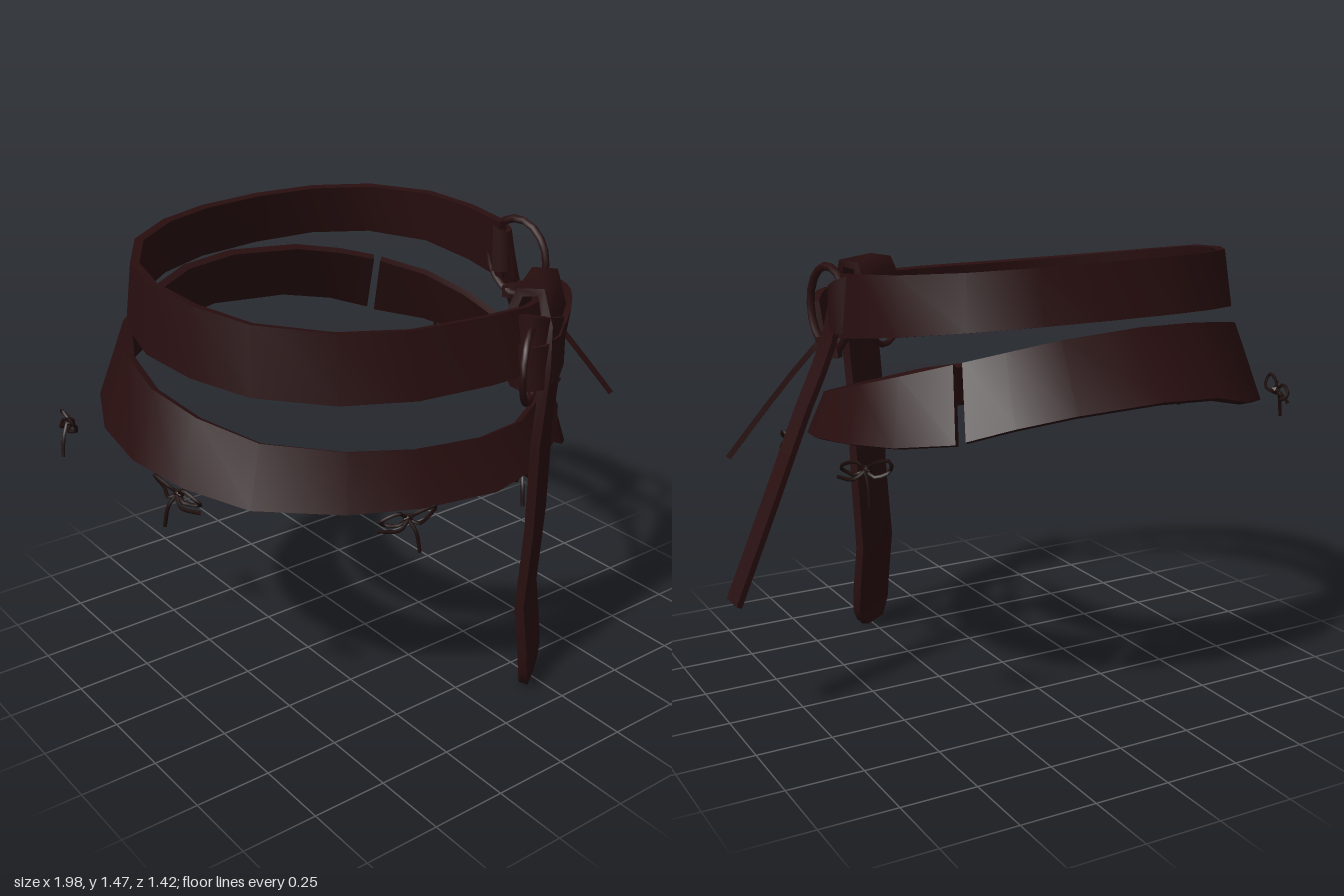
import * as THREE from 'three';

const leather = new THREE.MeshStandardMaterial({ color: 0x280e0f });
leather.name = 'dark leather';
const cordMat = new THREE.MeshStandardMaterial({ color: 0x1c0c0a });
cordMat.name = 'cord';

const V = (x, y, z) => new THREE.Vector3(x, y, z);

// Flat strap swept between two edge lines, with real thickness and capped ends
function strap(name, edgeA, edgeB, thick, perSpan = 1, closed = false) {
  const ca = new THREE.CatmullRomCurve3(edgeA, closed);
  const cb = new THREE.CatmullRomCurve3(edgeB, closed);
  const steps = (closed ? edgeA.length : edgeA.length - 1) * perSpan;
  const rings = [];
  for (let i = 0; i <= steps; i++) {
    const t = i / steps;
    const a = ca.getPoint(t), b = cb.getPoint(t);
    const tan = ca.getTangent(t).add(cb.getTangent(t));
    const n = tan.cross(b.clone().sub(a)).normalize().multiplyScalar(thick / 2);
    rings.push([a.clone().add(n), b.clone().add(n), b.clone().sub(n), a.clone().sub(n)]);
  }
  const pos = [], idx = [];
  for (let s = 0; s < 4; s++) {
    const base = pos.length / 3;
    for (const r of rings) pos.push(...r[s].toArray(), ...r[(s + 1) % 4].toArray());
    for (let i = 0; i < steps; i++) {
      const k = base + i * 2;
      idx.push(k, k + 2, k + 1, k + 1, k + 2, k + 3);
    }
  }
  if (!closed) {
    for (const [r, flip] of [[rings[0], false], [rings[steps], true]]) {
      const k = pos.length / 3;
      for (const p of r) pos.push(...p.toArray());
      if (flip) idx.push(k, k + 2, k + 1, k, k + 3, k + 2);
      else idx.push(k, k + 1, k + 2, k, k + 2, k + 3);
    }
  }
  const g = new THREE.BufferGeometry();
  g.setAttribute('position', new THREE.Float32BufferAttribute(pos, 3));
  g.setIndex(idx);
  g.computeVertexNormals();
  const m = new THREE.Mesh(g, leather);
  m.name = name;
  return m;
}

// Strap from a centre line [x, y, z, halfWidth] and one width direction
function band(name, pts, dir, thick, perSpan = 2, closed = false) {
  const edge = s => pts.map(p => V(p[0], p[1], p[2]).addScaledVector(dir, s * p[3]));
  return strap(name, edge(1), edge(-1), thick, perSpan, closed);
}

function ring(name, radius, tube, p, yaw) {
  const m = new THREE.Mesh(new THREE.TorusGeometry(radius, tube, 6, 18), leather);
  m.position.set(...p);
  m.rotation.y = yaw;
  m.scale.y = 1.06;
  m.name = name;
  return m;
}

// Small tied bow with two loops and loose tails, facing outward
function bow(x, y, z, flip) {
  const g = new THREE.Group();
  g.name = 'cordBow';
  const tube = pts => {
    const c = new THREE.CatmullRomCurve3(pts.map(p => V(...p)));
    const m = new THREE.Mesh(new THREE.TubeGeometry(c, 12, 0.006, 5), cordMat);
    m.name = 'cordStrand';
    g.add(m);
  };
  for (const s of [-1, 1]) {
    tube([[0, 0, 0], [s * 0.03, 0.025, 0.015], [s * 0.085, 0.02 + s * 0.02, 0.01],
      [s * 0.07, -0.01 + s * 0.01, -0.01], [s * 0.03, -0.015, 0.012], [0, 0, 0]]);
  }
  tube([[0, 0, 0.01], [0.02, -0.035, 0.025], [0.03, -0.1, 0.035]]);
  tube([[0, 0, 0.01], [-0.03, -0.025, 0.025], [-0.095, -0.03, 0.01]]);
  const knot = new THREE.Mesh(new THREE.IcosahedronGeometry(0.017, 0), cordMat);
  knot.name = 'cordKnot';
  g.add(knot);
  g.position.set(x, y, z);
  g.rotation.y = Math.atan2(x, z);
  g.scale.x = flip;
  return g;
}

export function createModel() {
  const model = new THREE.Group();
  model.name = 'doubleBelt';

  // Lower belt: flares outward towards its bottom edge, open at the back left
  const low = [[0.44, -0.52], [0.57, -0.38], [0.635, -0.19], [0.65, 0.03], [0.61, 0.2], [0.53, 0.36],
    [0.38, 0.51], [0.2, 0.61], [0, 0.65], [-0.25, 0.61], [-0.47, 0.53], [-0.7, 0.38], [-0.81, 0.19],
    [-0.86, 0], [-0.84, -0.21], [-0.75, -0.41], [-0.57, -0.56], [-0.37, -0.67], [-0.15, -0.705],
    [0.13, -0.675], [0.3, -0.615], [0.42, -0.54]];
  const lowTop = low.map(([x, z]) => {
    const tz = z * (z < 0 ? 0.83 : 0.9);
    return V(x * 0.91, 1.11 - 0.275 * tz - 0.1 * Math.max(0, x), tz);
  });
  const lowBottom = low.map(([x, z]) =>
    V(x, 0.897 - (z < 0 ? 0.12 : 0.165) * z + Math.max(0, -0.5 - z) * 0.4, z));
  model.add(strap('lowerBelt', lowTop, lowBottom, 0.026));

  // Upper belt: runs from the knot round the back to the side ring
  const up = [[0.3, 0.565], [0.17, 0.605], [0, 0.605], [-0.25, 0.575], [-0.465, 0.49], [-0.65, 0.335],
    [-0.735, 0.16], [-0.77, -0.02], [-0.735, -0.2], [-0.625, -0.375], [-0.46, -0.49], [-0.28, -0.55],
    [-0.05, -0.57], [0.18, -0.555], [0.38, -0.48], [0.525, -0.32], [0.562, -0.13], [0.56, 0.05]];
  const upTop = up.map(([x, z]) =>
    V(x * 0.98, 1.425 - (z < 0 ? 0.08 : 0.155) * z - 0.02 * Math.max(0, x), z * 0.95));
  const upBottom = up.map(([x, z]) => V(x * 1.01, 1.21 - (z < 0 ? 0.16 : 0.135) * z, z * 1.01));
  model.add(strap('upperBelt', upTop, upBottom, 0.028));

  // Hanging strap [y, outward, sideways, halfWidth]: rises in front, folds over and tucks in behind
  const w = V(0.82, 0, -0.57), n = V(0.57, 0, 0.82);
  const place = (y, d, u, h) =>
    [0.238 + n.x * d + w.x * u, y, 0.592 + n.z * d + w.z * u, h];
  const fall = [[0.002, 0, 0, 0.052], [0.03, 0.004, 0, 0.08], [0.07, 0.005, 0, 0.102], [0.15, 0, 0, 0.104],
    [0.32, -0.018, 0, 0.104], [0.6, 0, 0, 0.1], [0.9, 0.005, 0, 0.1], [1.15, 0.025, 0, 0.1],
    [1.28, 0.02, 0.03, 0.108], [1.375, -0.01, 0.055, 0.105], [1.37, -0.075, 0.06, 0.11],
    [1.3, -0.1, 0.055, 0.12], [1.24, -0.085, 0.045, 0.11]];
  model.add(band('hangingStrap', fall.map(p => place(...p)), w, 0.03, 1));

  // Knot: two tilted wraps around the strap
  const wrap = (name, ru, rn, y, tilt, h) => {
    const pts = [];
    for (let i = 0; i < 10; i++) {
      const a = i / 10 * Math.PI * 2, u = Math.cos(a) * ru;
      pts.push(place(y + tilt * u, Math.sin(a) * rn - 0.03, u + 0.01, h));
    }
    model.add(band(name, pts, V(0, 1, 0), 0.022, 1, true));
  };
  wrap('knotWrap', 0.13, 0.075, 1.18, 0.2, 0.07);
  wrap('knotCross', 0.115, 0.068, 1.23, -0.3, 0.055);

  // Loose belt end leaving the knot
  model.add(band('knotTail', [[0.16, 1.17, 0.63, 0.06], [0.29, 1.18, 0.59, 0.08], [0.4, 1.21, 0.5, 0.085],
    [0.48, 1.22, 0.4, 0.072], [0.525, 1.22, 0.32, 0.06]], V(0.1, 1, 0.1), 0.03));

  // Rings at the knot and at the side
  model.add(ring('knotRing', 0.11, 0.011, [0.14, 1.165, 0.635], Math.atan2(0.57, 0.82)));
  model.add(ring('sideRing', 0.126, 0.013, [0.57, 1.29, 0.105], Math.PI / 2 + 0.1));

  // Belt end looped through the side ring
  model.add(band('ringLoop', [[0.55, 1.32, -0.03, 0.09], [0.585, 1.31, 0, 0.085], [0.59, 1.3, 0.04, 0.07],
    [0.56, 1.3, 0.06, 0.07], [0.535, 1.31, 0.02, 0.08]], V(0, 1, 0), 0.018));

  // Two thin straps hanging out from the side ring
  model.add(band('shortSideStrap', [[0.57, 1.2, 0.12, 0.028], [0.61, 1.16, 0.145, 0.036],
    [0.73, 0.985, 0.23, 0.036], [0.855, 0.8, 0.3, 0.036]], V(-0.5, 0, 0.86), 0.018));
  model.add(band('longSideStrap', [[0.565, 1.37, 0.035, 0.03], [0.6, 1.2, 0.04, 0.034],
    [0.7, 1.0, 0.02, 0.035], [0.84, 0.72, -0.025, 0.036], [0.985, 0.43, -0.068, 0.036]],
  V(0.1, 0.1, 0.99), 0.02));
  model.add(band('ringKnot', [[0.56, 1.16, 0.05, 0.02], [0.6, 1.165, 0.1, 0.025], [0.58, 1.17, 0.16, 0.02]],
    V(0, 1, 0), 0.03));

  // Cord bows spaced round the lower belt
  const bows = [[-0.93, 0.94, -0.29, 1], [-0.86, 0.885, 0.25, -1], [-0.28, 0.76, 0.58, 1],
    [0.16, 0.79, 0.59, -1], [0.71, 0.87, 0.12, 1], [0.69, 0.91, -0.44, 1]];
  for (const b of bows) model.add(bow(...b));

  return model;
}
